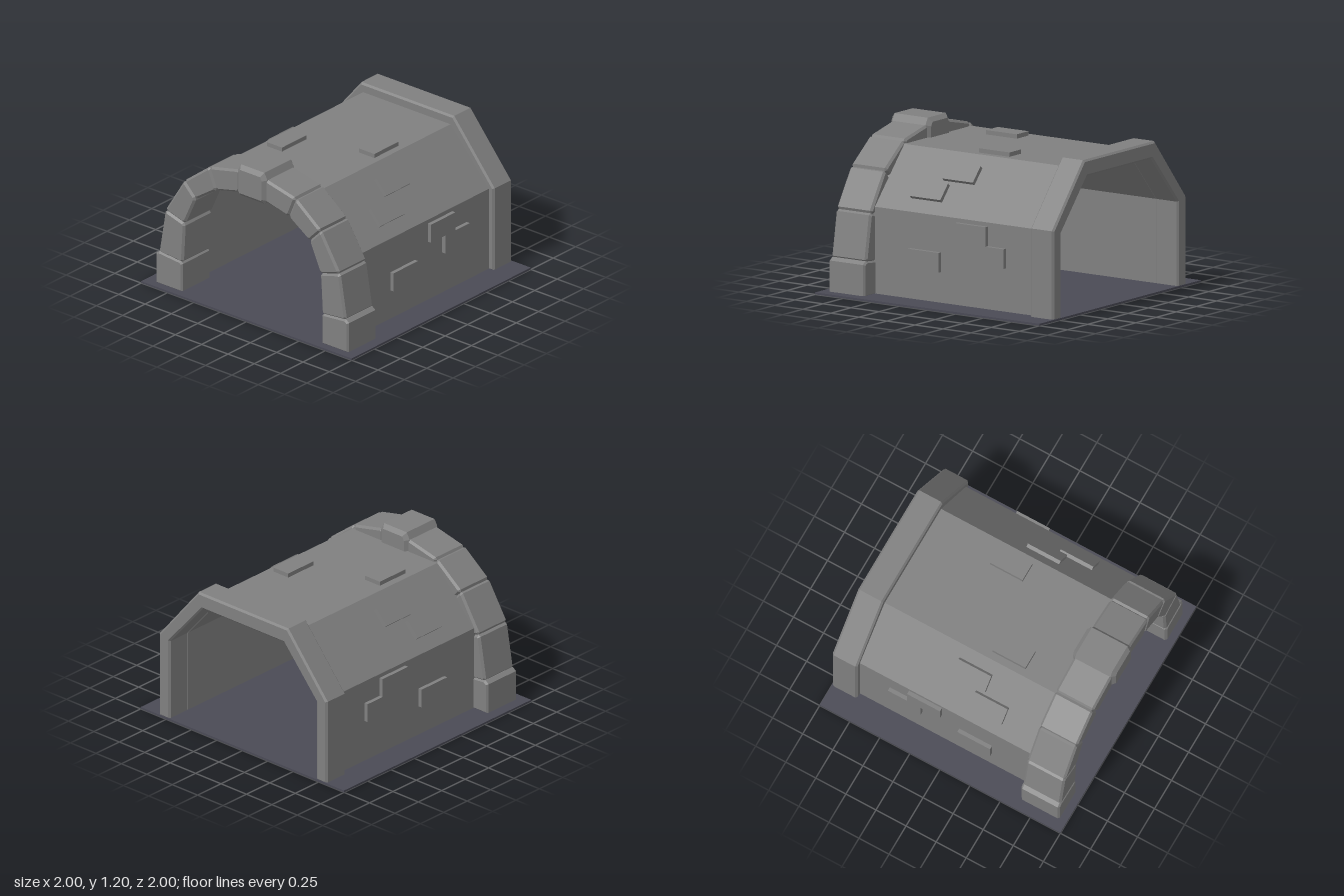
import * as THREE from 'three';

const stone = new THREE.MeshStandardMaterial({ color: 0x808080, flatShading: true });
const slate = new THREE.MeshStandardMaterial({ color: 0x4a4a55, flatShading: true });

// Extrude a [z, y] outline along x from x0 to x1, with chamfered end edges
function extrudeX(name, points, x0, x1, bevel = 0) {
  const shape = new THREE.Shape(points.map(([z, y]) => new THREE.Vector2(-z, y)));
  const geometry = new THREE.ExtrudeGeometry(shape, {
    depth: x1 - x0 - 2 * bevel,
    bevelEnabled: bevel > 0,
    bevelThickness: bevel,
    bevelSize: bevel,
    bevelOffset: -bevel,
    bevelSegments: 1,
  });
  geometry.translate(0, 0, x0 + bevel).rotateY(Math.PI / 2);
  const mesh = new THREE.Mesh(geometry, stone);
  mesh.name = name;
  return mesh;
}

// Cut every corner of an outline by the distance c
function cutCorners(points, c) {
  const out = [];
  points.forEach((p, i) => {
    const n = points.length;
    for (const q of [points[(i + n - 1) % n], points[(i + 1) % n]]) {
      const k = c / Math.hypot(q[0] - p[0], q[1] - p[1]);
      out.push([p[0] + (q[0] - p[0]) * k, p[1] + (q[1] - p[1]) * k]);
    }
  });
  return out;
}

// Symmetric arch outline from the outer and inner half profiles
function archOutline(outer, inner) {
  const flip = (pts) => pts.map(([z, y]) => [-z, y]).reverse();
  return [...outer, ...flip(outer), ...[...inner, ...flip(inner)].reverse()];
}

export function createModel() {
  const model = new THREE.Group();
  model.name = 'stoneTunnel';

  // Ground slab
  const ground = new THREE.Mesh(new THREE.BoxGeometry(2, 0.015, 2), slate);
  ground.name = 'ground';
  ground.position.y = 0.0075;
  model.add(ground);

  // Faceted vault and the plain end frame
  const inner = [[0.72, 0.005], [0.72, 0.637], [0.4, 1.007]];
  const vault = [[0.78, 0.005], [0.78, 0.655], [0.415, 1.06]];
  const frame = [[0.825, 0.005], [0.825, 0.667], [0.44, 1.13]];
  model.add(extrudeX('vault', archOutline(vault, inner), -0.8, 0.8));
  model.add(extrudeX('endFrame', archOutline(frame, inner), 0.79, 0.997, 0.014));

  // Arch of separate stones; each joint is an outer and an inner [z, y] point
  const arch = new THREE.Group();
  arch.name = 'stoneArch';
  const joints = [
    [[0.89, 0.26], [0.66, 0.24]],
    [[0.83, 0.615], [0.642, 0.56]],
    [[0.65, 0.905], [0.538, 0.79]],
    [[0.41, 1.09], [0.342, 0.922]],
    [[0.12, 1.155], [0.12, 0.975]],
  ];
  for (const s of [1, -1]) {
    const side = (pts) => pts.map(([z, y]) => [s * z, y]);
    const base = [[0.915, 0.005], [0.915, 0.245], [0.885, 0.268], [0.68, 0.25], [0.662, 0.232], [0.662, 0.005]];
    arch.add(extrudeX('baseStone', side(base), -0.942, -0.622, 0.014));
    for (let i = 0; i < joints.length - 1; i++) {
      const [a, b] = [joints[i], joints[i + 1]];
      const block = cutCorners([a[0], b[0], b[1], a[1]], 0.017);
      arch.add(extrudeX('archStone', side(block), -0.938, -0.625, 0.016));
    }
  }
  const key = [
    [0.112, 1.203], [0.14, 1.15], [0.14, 0.985], [0.115, 0.955],
    [-0.115, 0.955], [-0.14, 0.985], [-0.14, 1.15], [-0.112, 1.203],
  ];
  arch.add(extrudeX('keystone', key, -0.96, -0.605, 0.03));
  model.add(arch);

  // Raised bricks scattered on the vault
  const bricks = new THREE.Group();
  bricks.name = 'bricks';
  const brickGeometry = new THREE.BoxGeometry(0.273, 0.145, 0.06);
  const addBrick = (x, y, z, tilt) => {
    const brick = new THREE.Mesh(brickGeometry, stone);
    brick.name = 'brick';
    brick.position.set(x, y, z);
    brick.rotation.x = tilt;
    bricks.add(brick);
  };
  const slope = Math.atan2(0.365, 0.405);
  for (const s of [1, -1]) {
    for (const [x, y] of [[-0.172, 0.314], [0.245, 0.552], [0.405, 0.408]]) addBrick(x, y, s * 0.78, 0);
    for (const [x, t] of [[-0.013, 0.666], [-0.217, 0.337]]) {
      addBrick(x, 0.655 + 0.405 * t, s * (0.78 - 0.365 * t), -s * slope);
    }
  }
  addBrick(-0.213, 1.062, -0.288, Math.PI / 2);
  addBrick(0.138, 1.062, 0.29, Math.PI / 2);
  model.add(bricks);

  return model;
}
